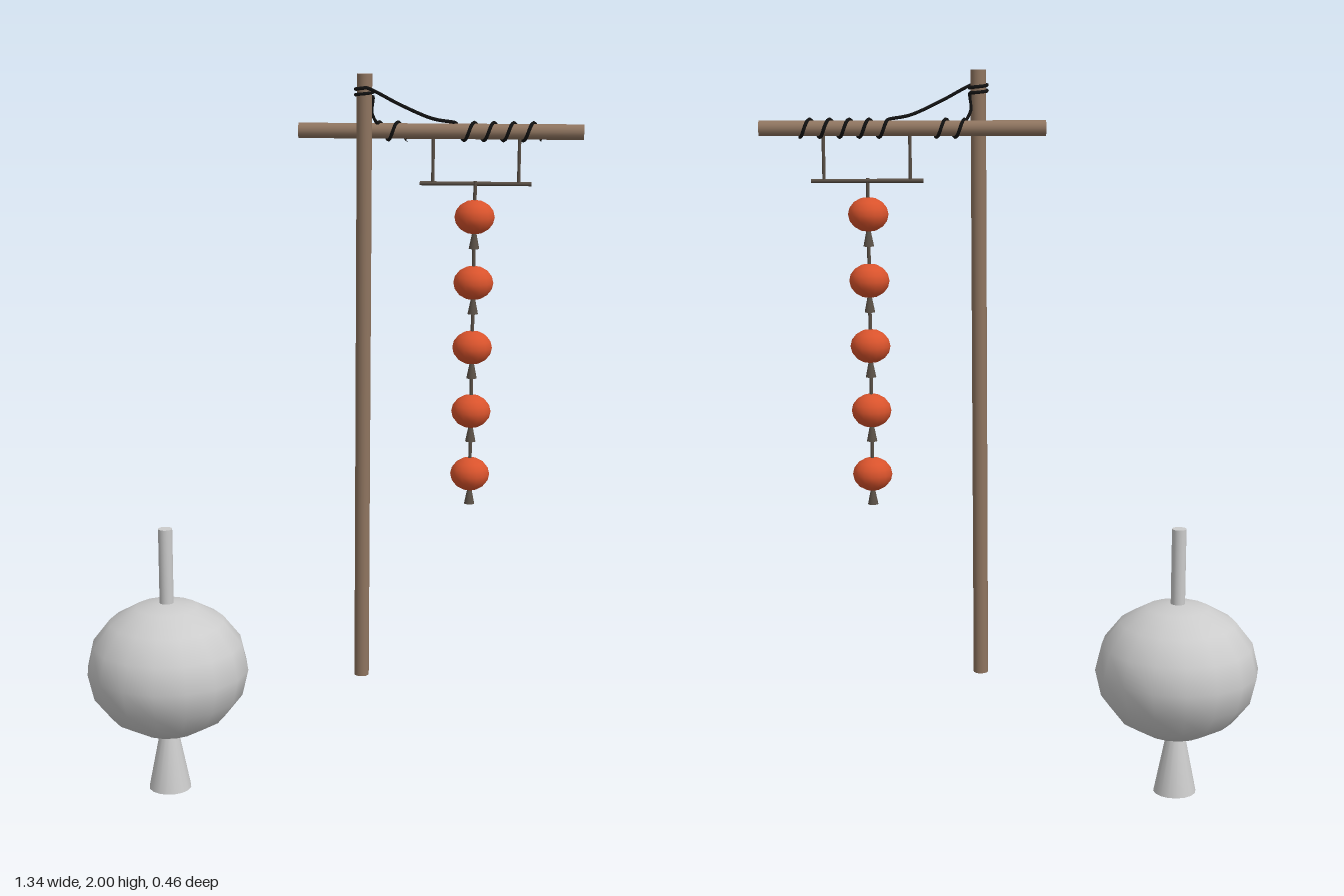
import * as THREE from 'three';

const mat = (color) => new THREE.MeshStandardMaterial({ color });
const GREY = mat(0xcccccc);
const WOOD = mat(0x8f7560);
const DARK = mat(0x5a5046);
const ORANGE = mat(0xd9532c);
const ROPE = mat(0x111111);

const BAR = { y: 1.852, z: -0.037 };
const POLE_X = 0.103;

function add(parent, name, geometry, material, x = 0, y = 0, z = 0) {
  const mesh = new THREE.Mesh(geometry, material);
  mesh.name = name;
  mesh.position.set(x, y, z);
  parent.add(mesh);
  return mesh;
}

// Flattened ball with a thin stem on top and a flared foot below, origin at the ball centre
function createLantern(name, bodyMaterial, trimMaterial) {
  const group = new THREE.Group();
  group.name = name;
  add(group, 'body', new THREE.SphereGeometry(0.228, 16, 8), bodyMaterial).scale.y = 0.855;
  add(group, 'stem', new THREE.CylinderGeometry(0.02, 0.02, 0.23, 16), trimMaterial, 0, 0.29, 0);
  add(group, 'foot', new THREE.CylinderGeometry(0.022, 0.06, 0.19, 16), trimMaterial, 0, -0.265, 0);
  return group;
}

// Points of a coil around the crossbar, from x0 to x1 and angle a0 to a1
function barCoil(x0, x1, a0, a1, steps) {
  const points = [];
  for (let i = 0; i <= steps; i++) {
    const t = i / steps, a = a0 + (a1 - a0) * t;
    points.push(new THREE.Vector3(x0 + (x1 - x0) * t, BAR.y + 0.023 * Math.sin(a), BAR.z + 0.023 * Math.cos(a)));
  }
  return points;
}

// Points of a coil around the pole
function poleCoil(y0, y1, a0, a1, steps) {
  const points = [];
  for (let i = 0; i <= steps; i++) {
    const t = i / steps, a = a0 + (a1 - a0) * t;
    points.push(new THREE.Vector3(POLE_X + 0.023 * Math.sin(a), y0 + (y1 - y0) * t, 0.023 * Math.cos(a)));
  }
  return points;
}

export function createModel() {
  const model = new THREE.Group();
  model.name = 'lanternPost';

  // Large plain lantern standing on its foot
  const large = createLantern('largeLantern', GREY, GREY);
  large.position.set(-0.443, 0.36, 0);
  model.add(large);

  // Post and crossbar
  add(model, 'pole', new THREE.CylinderGeometry(0.02, 0.02, 1.64, 16), WOOD, POLE_X, 1.18, 0);
  add(model, 'crossbar', new THREE.CylinderGeometry(0.02, 0.02, 0.742, 16), WOOD, 0.299, BAR.y, BAR.z)
    .rotation.z = Math.PI / 2;

  // Hanger frame
  const hanger = new THREE.Group();
  hanger.name = 'hanger';
  model.add(hanger);
  add(hanger, 'hangerBar', new THREE.CylinderGeometry(0.0055, 0.0055, 0.292, 10), DARK, 0.393, 1.717, BAR.z)
    .rotation.z = Math.PI / 2;
  for (const x of [0.281, 0.505]) {
    add(hanger, 'hangerRod', new THREE.CylinderGeometry(0.0045, 0.0045, 0.135, 10), DARK, x, 1.784, BAR.z);
  }

  // String of five small lanterns
  for (let i = 0; i < 5; i++) {
    const lantern = createLantern('smallLantern', ORANGE, DARK);
    lantern.scale.setScalar(0.232);
    lantern.position.set(0.392, 1.63 - i * 0.174, BAR.z + 0.002);
    model.add(lantern);
  }

  // Rope: coils on the bar, rises to the pole, loops it and ties back to the bar
  const top = Math.PI / 2, turn = Math.PI * 2;
  const path = new THREE.CatmullRomCurve3([
    ...barCoil(0.565, 0.335, top + turn * 4.5, top, 54),
    new THREE.Vector3(0.28, 1.885, -0.022),
    new THREE.Vector3(0.2, 1.92, 0.008),
    ...poleCoil(1.965, 1.94, 0.3, -turn * 1.7, 24),
    new THREE.Vector3(0.122, 1.9, -0.012),
    ...barCoil(0.135, 0.215, top - 0.5, top + turn * 1.55, 20),
  ], false, 'centripetal');
  add(model, 'rope', new THREE.TubeGeometry(path, 420, 0.0045, 6), ROPE);

  return model;
}
